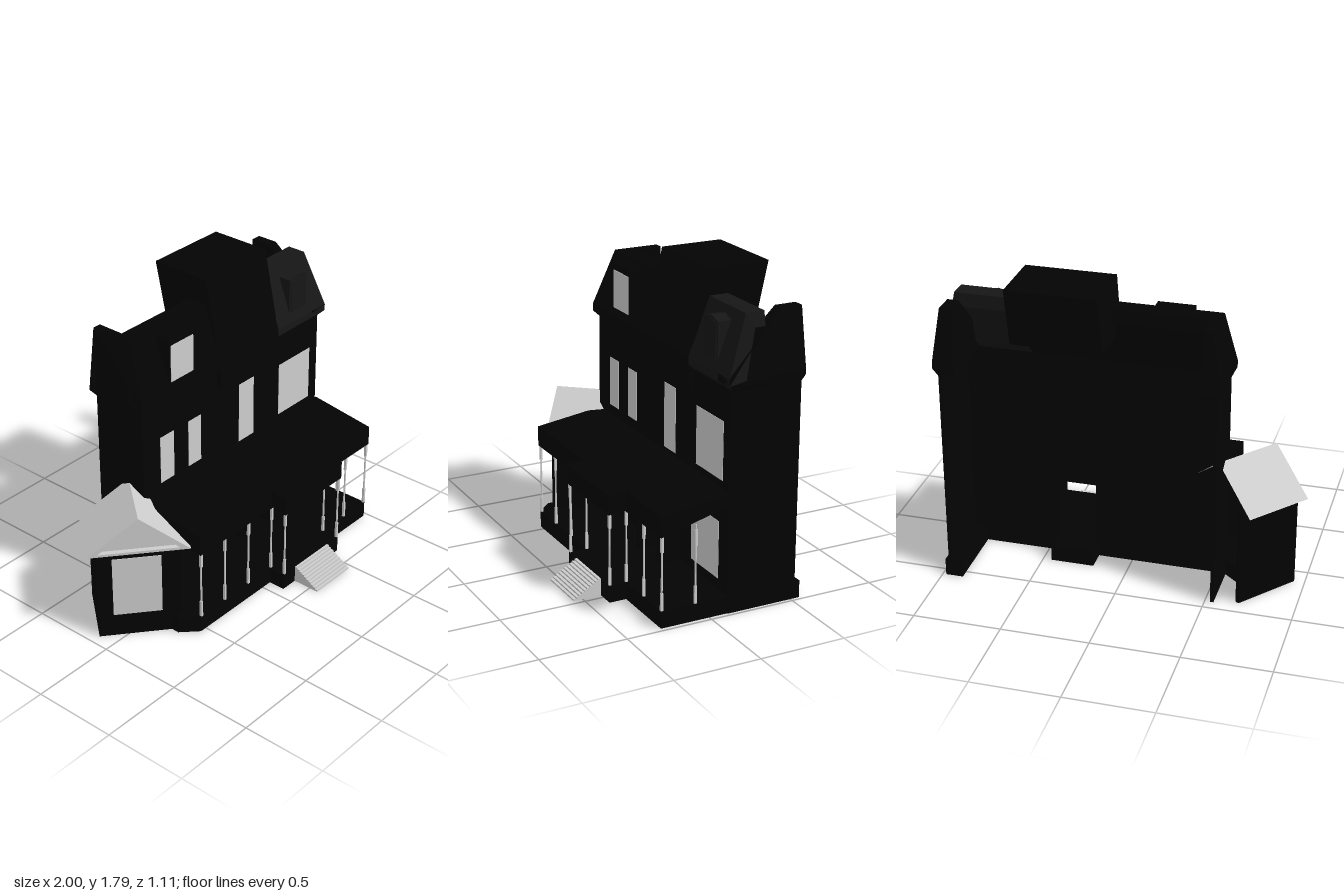
import * as THREE from 'three';

const black = new THREE.MeshStandardMaterial({ color: 0x030303, side: THREE.DoubleSide, flatShading: true });
const slate = new THREE.MeshStandardMaterial({ color: 0x161616, side: THREE.DoubleSide, flatShading: true });
const grey = new THREE.MeshStandardMaterial({ color: 0xcccccc, side: THREE.DoubleSide, flatShading: true });

export function createModel() {
  const house = new THREE.Group();
  house.name = 'house';

  function add(name, geometry, material = black, parent = house) {
    const mesh = new THREE.Mesh(geometry, material);
    mesh.name = name;
    parent.add(mesh);
    return mesh;
  }
  // Box given by its limits
  function box(name, x0, x1, y0, y1, z0, z1, material, parent) {
    const g = new THREE.BoxGeometry(x1 - x0, y1 - y0, z1 - z0);
    g.translate((x0 + x1) / 2, (y0 + y1) / 2, (z0 + z1) / 2);
    return add(name, g, material, parent);
  }
  const points = pts => pts.map(p => new THREE.Vector2(...p));
  const shapeOf = pts => new THREE.Shape(points(pts));
  // Outline in x, y extruded from z0 to z1
  function slab(name, shape, z0, z1, material, parent) {
    const g = new THREE.ExtrudeGeometry(shape, { depth: z1 - z0, bevelEnabled: false });
    g.translate(0, 0, z0);
    return add(name, g, material, parent);
  }
  // Profile in z, y extruded from x0 to x1; lean tilts the ends inward above the cornice
  function prism(name, profile, x0, x1, leanRight = 0, leanLeft = 0, material = black) {
    const g = new THREE.ExtrudeGeometry(shapeOf(profile.map(([z, y]) => [-z, y])), { depth: x1 - x0, bevelEnabled: false });
    g.rotateY(Math.PI / 2).translate(x0, 0, 0);
    const p = g.attributes.position;
    for (let i = 0; i < p.count; i++) {
      const y = p.getY(i);
      const move = lean => (y > 1.32 ? lean * (y - 1.32) : y < 1.26 && lean ? 0.03 : 0);
      if (Math.abs(p.getX(i) - x0) < 1e-4) p.setX(i, x0 + move(leanRight));
      else p.setX(i, x1 - move(leanLeft));
    }
    g.computeVertexNormals();
    return add(name, g, material);
  }
  // Flat outline in x, z raised from y0 to y1
  function plinth(name, pts, y0, y1) {
    const g = new THREE.ExtrudeGeometry(shapeOf(pts.map(([x, z]) => [x, -z])), { depth: y1 - y0, bevelEnabled: false });
    g.rotateX(-Math.PI / 2).translate(0, y0, 0);
    return add(name, g);
  }
  const windowAt = (x0, x1, y0, y1, z, parent) => box('windowPane', x0, x1, y0, y1, z - 0.003, z + 0.003, grey, parent);

  // Front wall with an open doorway, and the two side walls
  const wall = shapeOf([[-0.55, 0], [0.97, 0], [0.97, 1.3], [-0.55, 1.3]]);
  wall.holes.push(new THREE.Path(points([[0.215, 0.1], [0.215, 0.46], [0.435, 0.46], [0.435, 0.1]])));
  slab('frontWall', wall, -0.13, -0.11);
  box('leftWall', 0.95, 0.97, 0, 1.3, -0.53, -0.12);
  box('leftWallFoot', 0.88, 0.98, 0, 0.1, -0.555, -0.11);
  box('rightWall', -0.55, -0.53, 0, 1.3, -0.44, -0.12);

  // Windows of the main walls
  [[-0.41, -0.3, 0.75, 1.04], [-0.18, -0.075, 0.75, 1.04], [0.255, 0.385, 0.71, 1.085], [0.615, 0.9, 0.73, 1.06],
    [-0.17, 0.015, 0.19, 0.49], [0.575, 0.87, 0.16, 0.49]].forEach(w => windowAt(...w, -0.111));

  // Open entrance porch walls around the doorway
  box('entranceSide', 0.195, 0.215, 0.1, 0.46, -0.11, 0.03);
  box('entranceSide', 0.435, 0.455, 0.1, 0.46, -0.11, 0.03);
  box('entranceTop', 0.195, 0.455, 0.46, 0.56, -0.11, 0.03);

  // Mansard roof: front slope, sides with hipped corners
  const front = [[-0.12, 1.24], [-0.08, 1.28], [-0.08, 1.32], [-0.2, 1.64], [-0.31, 1.64], [-0.31, 1.56], [-0.25, 1.56], [-0.18, 1.3]];
  prism('mansardFront', front, -0.575, 0.57, 0.16, 0);
  prism('mansardFrontLeft', front, 0.57, 1, 0, 0.18, slate);
  prism('mansardRight', [[-0.12, 1.24], [-0.08, 1.28], [-0.08, 1.32], [-0.2, 1.64], [-0.47, 1.64], [-0.47, 1.28], [-0.44, 1.24]],
    -0.575, -0.475, 0.16, 0);
  prism('mansardLeft', [[-0.12, 1.24], [-0.08, 1.28], [-0.08, 1.32], [-0.41, 1.64], [-0.535, 1.64], [-0.535, 1.32], [-0.535, 1.28],
    [-0.53, 1.24]], 0.88, 1, 0, 0.18);

  // Leaning tower block above the entrance
  prism('tower', [[-0.11, 1.14], [-0.08, 1.17], [-0.08, 1.27], [-0.19, 1.79], [-0.555, 1.79], [-0.48, 1.45], [-0.16, 1.45], [-0.12, 1.27]],
    0.065, 0.575);

  // Dormers
  prism('dormer', [[-0.095, 1.31], [-0.095, 1.62], [-0.21, 1.62], [-0.12, 1.31]], -0.345, -0.135);
  windowAt(-0.33, -0.15, 1.36, 1.58, -0.095);
  slab('pointedDormer', shapeOf([[0.69, 1.36], [0.84, 1.36], [0.84, 1.58], [0.765, 1.6], [0.69, 1.58]]), -0.19, -0.1, slate);
  slab('pointedDormerPanel', shapeOf([[0.705, 1.375], [0.825, 1.375], [0.825, 1.565], [0.765, 1.585], [0.705, 1.565]]), -0.1, -0.096, slate);

  // Porch floor with the entrance projection, and a sill behind the door
  plinth('porchFloor', [[-0.62, -0.11], [-0.63, 0.2], [-0.54, 0.29], [0.065, 0.29], [0.065, 0.39], [0.575, 0.39], [0.575, 0.29],
    [0.975, 0.29], [0.975, -0.11]], 0, 0.1);
  box('doorSill', 0.2, 0.45, 0, 0.1, -0.25, -0.11);

  // Porch roof
  prism('porchRoof', [[-0.11, 0.69], [0.295, 0.633], [0.295, 0.515], [-0.11, 0.62]], -0.545, 0.98);
  prism('entranceRoof', [[0.1, 0.662], [0.395, 0.62], [0.395, 0.51], [0.1, 0.565]], 0.065, 0.58);

  // Porch posts
  [[-0.53, 0.285], [-0.33, 0.285], [-0.127, 0.285], [0.077, 0.285], [0.077, 0.385], [0.567, 0.385], [0.567, 0.285],
    [0.77, 0.285], [0.97, 0.285], [0.97, 0.085]].forEach(([x, z]) => {
    const post = new THREE.Group();
    post.name = 'porchPost';
    post.position.set(x, 0, z);
    house.add(post);
    add('postShaft', new THREE.CylinderGeometry(0.005, 0.006, 0.45, 8).translate(0, 0.325, 0), grey, post);
    box('postFoot', -0.007, 0.007, 0.1, 0.2, -0.007, 0.007, grey, post);
    box('postHead', -0.007, 0.007, 0.43, 0.52, -0.007, 0.007, grey, post);
  });

  // Entrance steps
  const count = 10;
  for (let i = 0; i < count; i++) {
    box('step', 0.17, 0.47, i * 0.01, (i + 1) * 0.01, 0.39, 0.555 - i * 0.0165, grey);
  }

  // Angled side wing: local z is its front, the origin lies below the ridge end
  const wing = new THREE.Group();
  wing.name = 'wing';
  wing.position.set(-0.78, 0, 0.06);
  wing.rotation.y = -0.695;
  house.add(wing);
  slab('wingFrontWall', shapeOf([[-0.23, 0], [0.235, 0], [0.235, 0.55], [-0.23, 0.55]]), -0.045, -0.025, black, wing);
  box('wingSideWall', -0.23, -0.205, 0, 0.57, -0.425, -0.025, black, wing);
  box('wingInnerWall', 0.215, 0.235, 0, 0.57, -0.23, -0.025, black, wing);
  box('wingFloor', -0.22, 0.225, 0, 0.1, -0.3, -0.035, black, wing);
  windowAt(-0.147, 0.125, 0.14, 0.51, -0.024, wing);
  slab('gablePanel', shapeOf([[-0.27, 0.555], [0.27, 0.555], [0, 0.755]]), -0.05, -0.03, grey, wing);
  const rake = shapeOf([[-0.285, 0.55], [0.285, 0.55], [0, 0.775]]);
  rake.holes.push(new THREE.Path(points([[-0.225, 0.565], [0, 0.745], [0.225, 0.565]])));
  slab('gableTrim', rake, -0.03, 0, grey, wing);

  // Wing roof slopes, running on into the house
  for (const side of [-1, 1]) {
    const e = side * 0.285;
    const g = new THREE.BufferGeometry();
    g.setAttribute('position', new THREE.Float32BufferAttribute(
      [0, 0.775, 0, e, 0.55, 0, e, 0.55, -0.405, 0, 0.775, -0.405], 3));
    g.setIndex(side > 0 ? [0, 1, 2, 0, 2, 3] : [0, 2, 1, 0, 3, 2]);
    g.computeVertexNormals();
    add('wingRoofSlope', g, grey, wing);
  }

  return house;
}
